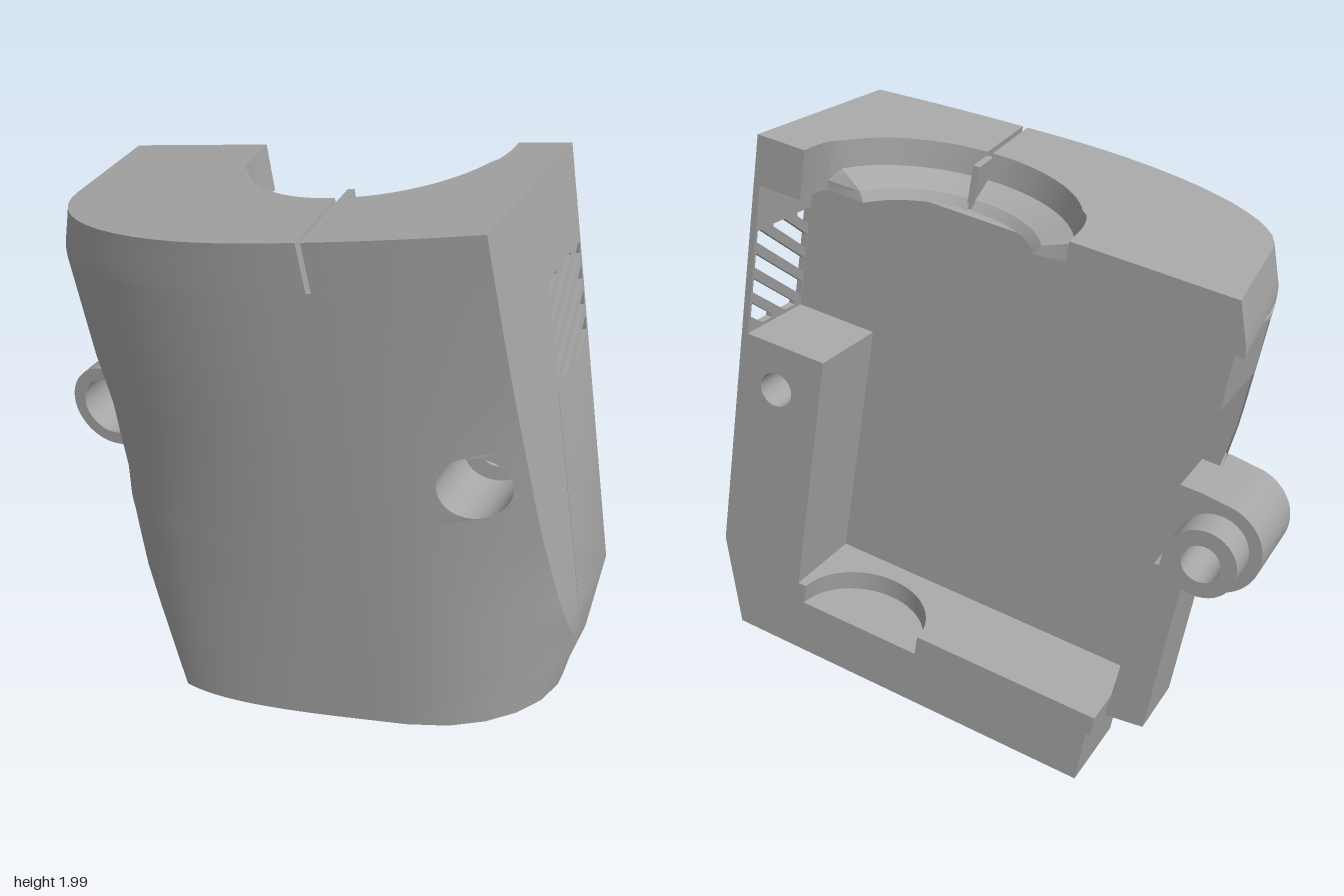
import * as THREE from 'three';
import { toCreasedNormals } from 'three/addons/utils/BufferGeometryUtils.js';

const TILT = 0.173;   // lean of the whole cover
const YAW = 0.1136;   // slant of the rear plane
const Z0 = -0.382;    // rear plane depth at u = 0
const backZ = u => Z0 + 0.114 * u;
const sidePlane = z => 1.02 - 0.113 * (z + 0.265);

const table = (rows, v) => {
  if (v <= rows[0][0]) return rows[0][1];
  for (let i = 1; i < rows.length; i++) {
    const [a, p] = rows[i - 1], [b, q] = rows[i];
    if (v <= b) return p + (q - p) * (v - a) / (b - a);
  }
  return rows[rows.length - 1][1];
};
const leftExtent = v => table([[0.8, -0.55], [0.92, -0.535], [1.17, -0.535], [1.35, -0.55], [1.72, -0.555], [1.855, -0.505]], v);
const leftCut = v => table([[0.085, -0.405], [0.36, -0.444], [0.55, -0.51], [0.78, -0.555], [0.9, -0.6]], v);
const leftPower = v => table([[0.085, 3], [0.6, 2.3], [1.1, 2]], v);
const rightRadius = v => table([[0.085, 0.45], [0.4, 0.57], [0.67, 0.655], [1.2, 0.91], [1.855, 1.42]], v);
const frontZ = v => 0.33 + 0.073 * (v - 0.1);
const surfaceZ = (u, v) => frontZ(v) * Math.sqrt(Math.max(0, 1 - ((u - 0.45) / rightRadius(v)) ** 2));

// Left rounded side, squarer and sliced away near the bottom
function leftCurve(v) {
  const a = 0.335 - leftExtent(v), p = leftPower(v), pts = [];
  const start = Math.acos(Math.min(1, (0.335 - leftCut(v)) / a) ** (p / 2));
  for (let i = 0; i <= 14; i++) {
    const t = start + i / 14 * (Math.PI / 2 - start);
    pts.push([0.335 - a * Math.max(0, Math.cos(t)) ** (2 / p), frontZ(v) * Math.sin(t) ** (2 / p)]);
  }
  return pts;
}

// Right rounded side, trimmed by the flat side plane
const FRACTIONS = [0, 0.2, 0.38, 0.55, 0.72, 0.9, 1];
function rightCurve(v) {
  const a = rightRadius(v), zf = frontZ(v);
  let lo = 0, hi = Math.PI / 2;
  const over = t => 0.45 + a * Math.cos(t) - sidePlane(zf * Math.sin(t));
  if (over(0) > 0) {
    for (let i = 0; i < 30; i++) { const m = (lo + hi) / 2; if (over(m) > 0) lo = m; else hi = m; }
  }
  return FRACTIONS.map(f => {
    const t = Math.PI / 2 - (Math.PI / 2 - lo) * f;
    return [0.45 + a * Math.cos(t), zf * Math.sin(t)];
  });
}

function toGeometry(tris) {
  const g = new THREE.BufferGeometry();
  g.setAttribute('position', new THREE.Float32BufferAttribute(tris.flat(), 3));
  return toCreasedNormals(g, 0.5);
}

// Joins cross-sections stacked along v and caps both ends
function loft(vs, section, closed, skip = () => false) {
  const rows = vs.map(v => section(v).map(([u, z]) => [u, v, z]));
  const n = rows[0].length, tris = [];
  for (let r = 0; r + 1 < rows.length; r++) {
    for (let i = 0; i < (closed ? n : n - 1); i++) {
      if (skip(r, i)) continue;
      const j = (i + 1) % n, A = rows[r], B = rows[r + 1];
      tris.push(A[i], A[j], B[j], A[i], B[j], B[i]);
    }
  }
  [rows[0], rows[rows.length - 1]].forEach((row, end) => {
    const flat = row.map(p => new THREE.Vector2(p[0], p[2]));
    THREE.ShapeUtils.triangulateShape(flat, []).forEach(([a, b, c]) =>
      tris.push(...(end ? [row[a], row[b], row[c]] : [row[a], row[c], row[b]])));
  });
  return { tris, rows };
}

const polygon = pts => new THREE.Shape(pts.map(p => new THREE.Vector2(p[0], p[1])));
const addHole = (shape, x, y, r) => {
  shape.holes.push(new THREE.Path().absarc(x, y, r, 0, Math.PI * 2, true));
  return shape;
};
const extrude = (shape, depth) => toCreasedNormals(
  new THREE.ExtrudeGeometry(shape, { depth, bevelEnabled: false, curveSegments: 20 }), 0.5);

export function createModel() {
  const plastic = new THREE.MeshStandardMaterial({ color: 0xa6a6a6, side: THREE.DoubleSide });
  plastic.name = 'grey plastic';
  const model = new THREE.Group();
  model.name = 'cover';
  const leaning = new THREE.Group();
  leaning.name = 'leaningBody';
  leaning.rotation.z = TILT;
  model.add(leaning);
  const rear = new THREE.Group();
  rear.name = 'rearFrame';
  rear.position.z = Z0;
  rear.rotation.y = -YAW;
  leaning.add(rear);
  const add = (parent, name, geometry, x = 0, y = 0, z = 0) => {
    const m = new THREE.Mesh(geometry, plastic);
    m.name = name;
    m.position.set(x, y, z);
    parent.add(m);
  };

  // Curved front body, with a window left for the screw hole
  const bodySection = v => {
    const L = leftCurve(v), R = rightCurve(v), end = R[R.length - 1];
    const zr = Math.min(0.035, end[1]);
    const uBack = Math.max(leftCut(v), leftExtent(v) - 0.01);
    return [[uBack, backZ(uBack) + 0.3], ...L, ...R, [Math.min(sidePlane(zr), 0.45 + rightRadius(v)), zr]];
  };
  const vs = [0.085, 0.18, 0.28, 0.4, 0.53, 0.67, 0.8, 0.92, 1.17, 1.35, 1.55, 1.7];
  const first = 1 + 15 + 2, last = first + 3;
  const { tris, rows } = loft(vs, bodySection, false, (r, i) => r === 7 && i >= first && i < last);

  // Patch around the screw hole, then the stepped bore going back
  const N = 32, hu = 0.797, hv = 1.042;
  const ring = (r, d) => Array.from({ length: N }, (_, i) => {
    const t = i / N * Math.PI * 2;
    const u = hu + r * Math.cos(t), v = hv + r * Math.sin(t);
    return [u + 0.113 * d, v, surfaceZ(u, v) - 0.9935 * d];
  });
  const loops = [ring(0.11, 0), ring(0.11, 0.22), ring(0.058, 0.22), ring(0.058, 0.38)];
  const border = [...rows[7].slice(first, last + 1), ...rows[8].slice(first, last + 1).reverse()];
  const all = [...border, ...loops[0]];
  const to2 = p => new THREE.Vector2(p[0], p[1]);
  THREE.ShapeUtils.triangulateShape(border.map(to2), [loops[0].map(to2)])
    .forEach(t => t.forEach(k => tris.push(all[k])));
  for (let k = 0; k < 3; k++) {
    for (let i = 0; i < N; i++) {
      const j = (i + 1) % N, A = loops[k], B = loops[k + 1];
      tris.push(A[i], A[j], B[j], A[i], B[j], B[i]);
    }
  }
  add(leaning, 'frontBody', toGeometry(tris));

  // Top plate in two halves with a narrow slit, a round neck opening and a lip below it
  const neckRadius = v => table([[1.7, 0.3], [1.73, 0.32], [1.77, 0.41], [1.855, 0.42]], v);
  const neckArc = (v, from, to) => Array.from({ length: 21 }, (_, i) => {
    const t = from + (to - from) * i / 20, r = Math.sin(t) < 0.33 ? 0.43 : neckRadius(v);
    return [0.425 + r * Math.cos(t), -0.29 + r * Math.sin(t)];
  });
  const slabLevels = [1.7, 1.73, 1.77, 1.81, 1.855];
  const half = Math.PI / 2;
  add(leaning, 'topPlateRight', toGeometry(loft(slabLevels, v => {
    const L = leftCurve(v), arc = neckArc(v, half + 0.02, Math.PI), e = arc[20];
    return [[L[0][0], backZ(L[0][0])], ...L, [0.418, frontZ(v)], ...arc, [e[0], backZ(e[0])]];
  }, true).tris));
  add(leaning, 'topPlateLeft', toGeometry(loft(slabLevels, v => {
    const R = rightCurve(v), arc = neckArc(v, 0.03, half - 0.02), e = arc[0];
    return [[0.434, frontZ(v)], ...R, [1.02, backZ(1.02)], [e[0], backZ(e[0])], ...arc];
  }, true).tris));
  add(leaning, 'slitFin', new THREE.BoxGeometry(0.022, 0.14, 0.12), 0.426, 1.77, 0.08);

  // Cavity floor
  add(rear, 'cavityFloor', new THREE.ShapeGeometry(polygon([[-0.4, 0.28], [-0.45, 0.5], [-0.51, 0.8],
    [-0.505, 0.92], [-0.505, 1.17], [-0.525, 1.35], [-0.53, 1.7], [1.02, 1.7], [1.02, 1.2], [0.72, 1.2],
    [0.72, 0.28]])), 0, 0, 0.3);

  // Thick side block and bottom ledge
  add(rear, 'sideBlockAndLedge', extrude(addHole(polygon([[-0.385, 0.085], [0.93, 0.085], [1.027, 0.4],
    [1.027, 1.2], [0.72, 1.2], [0.72, 0.28], [-0.385, 0.28]]), 0.881, hv, 0.058), 0.3));

  // Ledge top with a round recess
  const ledge = new THREE.Shape();
  ledge.moveTo(-0.4, 0);
  ledge.lineTo(0.25, 0);
  ledge.absarc(0.47, 0, 0.22, Math.PI, 0, true);
  ledge.lineTo(0.72, 0);
  ledge.lineTo(0.72, 0.31);
  ledge.lineTo(-0.4, 0.31);
  add(rear, 'ledgeTop', extrude(ledge, 0.07).rotateX(Math.PI / 2), 0, 0.35, 0);

  // Thin side wall in (depth, height); slanted vents trimmed to a square
  const wall = polygon([[0, 1.2], [0.31, 1.2], [0.31, 1.72], [0, 1.72]]);
  for (let k = -3; k < 5; k++) {
    const low = [], high = [];
    for (let i = 0; i <= 24; i++) {
      const w = 0.01 + i * 0.012, line = 1.235 + k * 0.085 + 0.66 * (0.3 - w);
      const a = Math.max(1.212, line), b = Math.min(1.55, line + 0.048);
      if (b - a < 0.006) continue;
      low.push(new THREE.Vector2(w, a));
      high.unshift(new THREE.Vector2(w, b));
    }
    if (low.length > 2) wall.holes.push(new THREE.Path([...low, ...high]));
  }
  add(rear, 'ventedWall', extrude(wall, 0.022).rotateY(-half), 1.027, 0, 0);

  // Upper tab and low wall on the other side
  add(rear, 'upperTab', extrude(polygon([[-0.53, 1.525], [-0.4, 1.525], [-0.4, 1.71], [-0.53, 1.71]]), 0.31));
  add(rear, 'lowWall', extrude(polygon([[-0.53, 0.3], [-0.4, 0.28], [-0.43, 0.9], [-0.53, 0.93]]), 0.24), 0, 0, 0.12);

  // Screw lug: small stub at the back, collar with a wide bore in front
  const lugX = -0.593;
  const collar = holeRadius => {
    const s = new THREE.Shape();
    s.moveTo(-0.45, 0.87);
    s.lineTo(-0.53, 0.88);
    s.lineTo(lugX, hv - 0.15);
    s.absarc(lugX, hv, 0.15, -half, half, true);
    s.lineTo(-0.52, 1.2);
    s.lineTo(-0.45, 1.2);
    return addHole(s, lugX, hv, holeRadius);
  };
  const stub = new THREE.Shape().absarc(lugX, hv, 0.11, 0, Math.PI * 2, false);
  add(rear, 'lugStub', extrude(addHole(stub, lugX, hv, 0.06), 0.11));
  add(rear, 'lugCollarRear', extrude(collar(0.06), 0.06), 0, 0, 0.11);
  add(rear, 'lugCollarFront', extrude(collar(0.105), 0.22), 0, 0, 0.17);

  return model;
}
